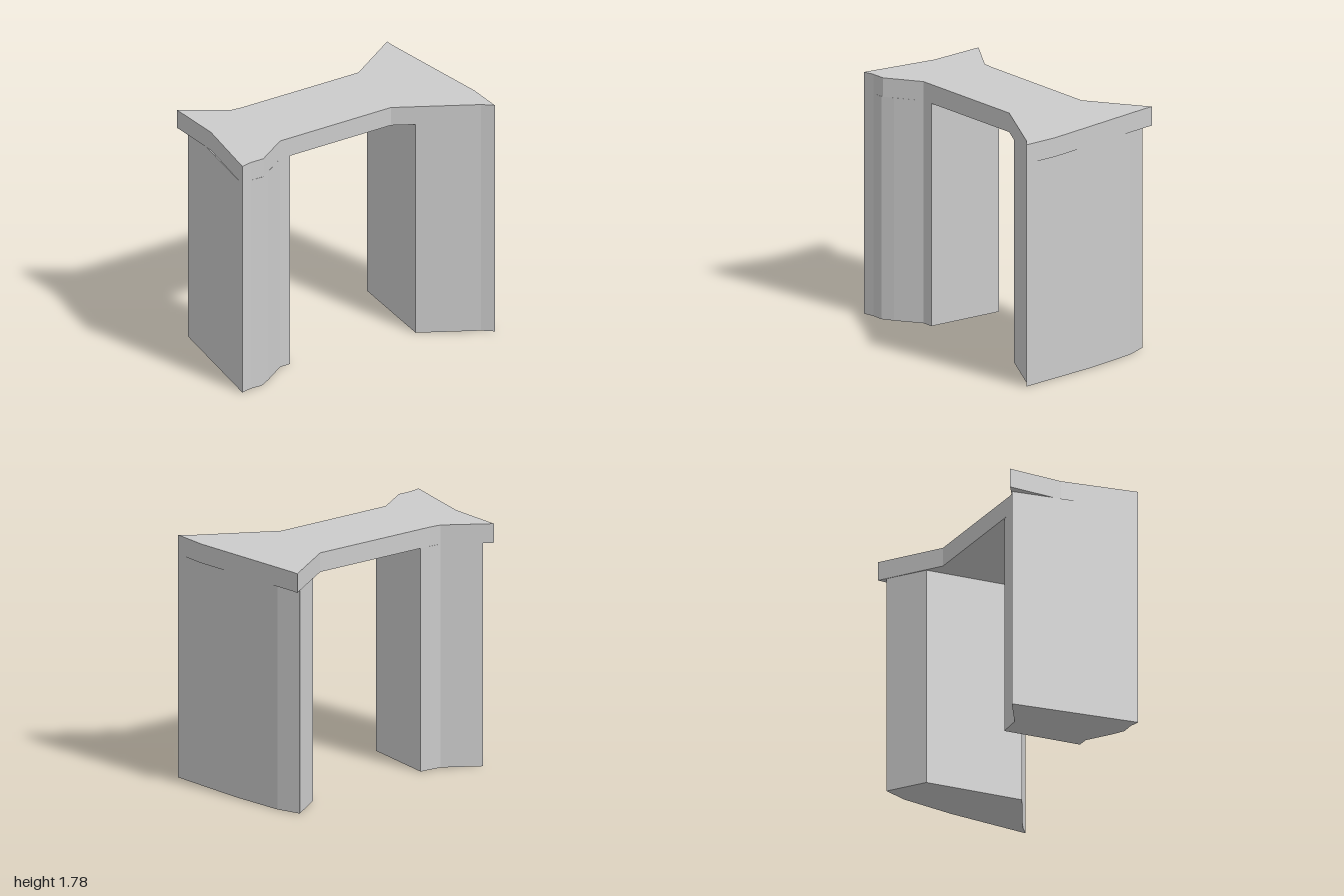
import * as THREE from 'three';

const LEG_TOP = 1.64;
const TOP = 1.78;

// Vertical prism over a plan outline of [x, z] points
function prism(name, plan, y0, y1, material) {
  const shape = new THREE.Shape(plan.map(([x, z]) => new THREE.Vector2(x, -z)));
  const geometry = new THREE.ExtrudeGeometry(shape, { depth: y1 - y0, bevelEnabled: false });
  geometry.rotateX(-Math.PI / 2);
  geometry.translate(0, y0, 0);
  const mesh = new THREE.Mesh(geometry, material);
  mesh.name = name;
  return mesh;
}

export function createModel() {
  const group = new THREE.Group();
  group.name = 'stoneArch';
  const stone = new THREE.MeshStandardMaterial({ color: 0xcccccc, flatShading: true });

  // Flared lintel slab across both legs
  const lintel = [
    [-1, 0.605], [-0.92, 0.58], [-0.815, 0.57], [-0.585, 0.385], [0.34, 0.295],
    [0.92, 0.55], [1, 0.605], [0.98, 0.34], [0.795, -0.56], [0.79, -0.61],
    [0.39, -0.285], [-0.58, -0.195], [-0.67, -0.195], [-1, -0.37], [-0.95, 0.04],
  ];

  // Leg on the +x side, set in under the back corner of the slab
  const leftLeg = [
    [1, 0.605], [0.91, 0], [0.82, -0.4], [0.74, -0.565], [0.5, -0.365],
    [0.5, 0.365], [0.92, 0.55],
  ];

  // Leg on the -x side, with a hollowed front face
  const rightLeg = [
    [-1, 0.605], [-0.92, 0.58], [-0.83, 0.575], [-0.75, 0.52], [-0.585, 0.385],
    [-0.5, 0.375], [-0.5, -0.2], [-0.67, -0.195], [-0.935, -0.33],
  ];

  group.add(
    prism('lintel', lintel, LEG_TOP, TOP, stone),
    prism('leftLeg', leftLeg, 0, LEG_TOP, stone),
    prism('rightLeg', rightLeg, 0, LEG_TOP, stone),
  );
  return group;
}
